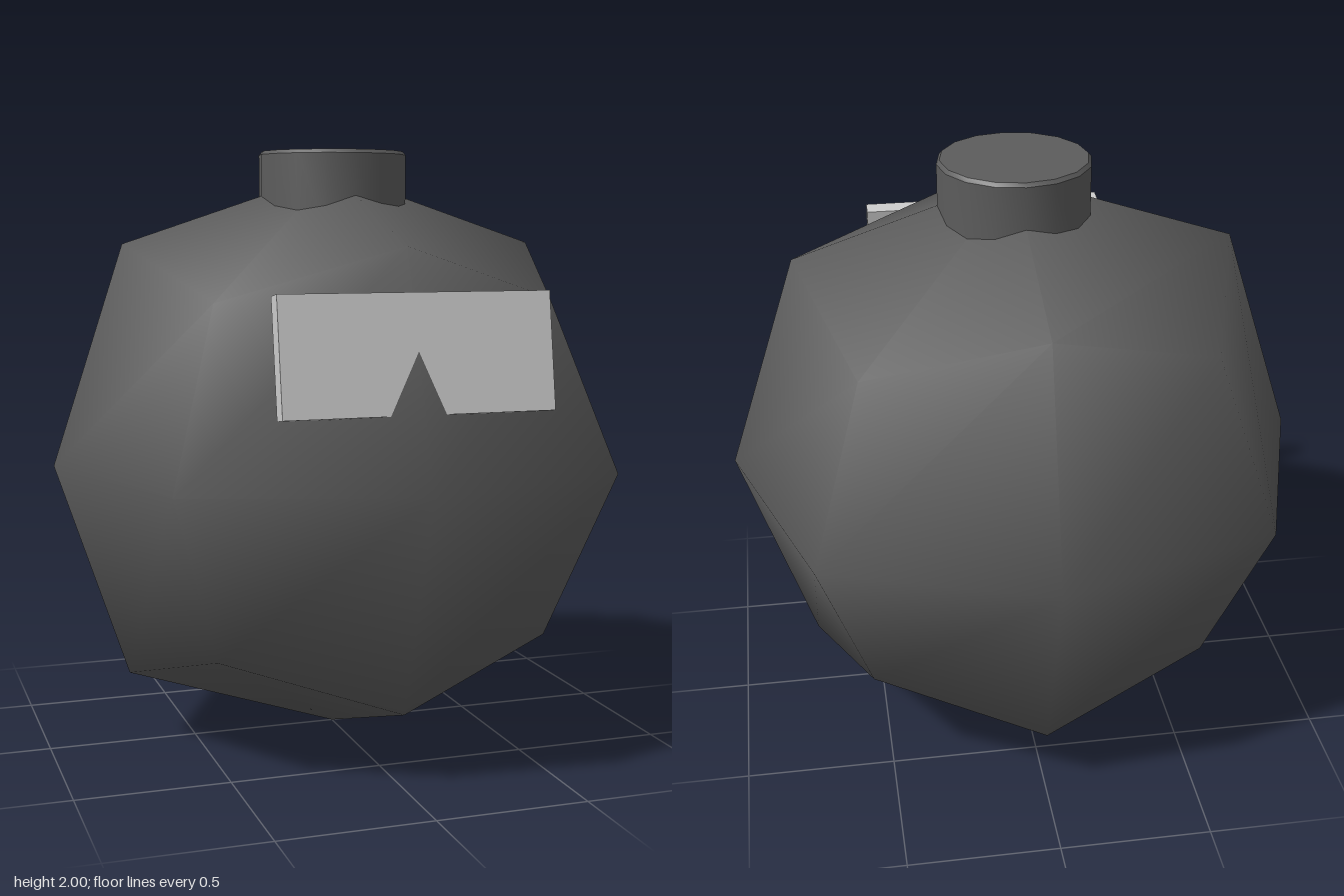
import * as THREE from 'three';
import { mergeVertices, toCreasedNormals } from 'three/addons/utils/BufferGeometryUtils.js';

const dark = new THREE.MeshStandardMaterial({ color: 0x5c5c5c });
const grey = new THREE.MeshStandardMaterial({ color: 0xcccccc });

function addMesh(group, name, geometry, material) {
  const mesh = new THREE.Mesh(geometry, material);
  mesh.name = name;
  group.add(mesh);
  return mesh;
}

// Coarse ball: a 2x2x2 cube whose corners, edge middles and face centres
// are moved to their own distances, shaded smooth.
function ballGeometry() {
  let geo = new THREE.BoxGeometry(2, 2, 2, 2, 2, 2);
  geo.deleteAttribute('normal');
  geo.deleteAttribute('uv');
  geo = mergeVertices(geo);

  const reach = [0, 0.965, 0.725, 0.555]; // by number of non-zero axes
  const pos = geo.attributes.position;
  const v = new THREE.Vector3();
  for (let i = 0; i < pos.count; i++) {
    v.fromBufferAttribute(pos, i).round();
    const axes = Math.abs(v.x) + Math.abs(v.y) + Math.abs(v.z);
    v.multiplyScalar(reach[axes]);
    pos.setXYZ(i, v.x, v.y, v.z);
  }

  // The underside quads are split along the other diagonal
  const index = geo.index;
  for (let q = 72; q < 96; q += 6) {
    const a = index.getX(q), b = index.getX(q + 1), d = index.getX(q + 2), c = index.getX(q + 4);
    [a, b, c, a, c, d].forEach((n, k) => index.setX(q + k, n));
  }
  geo.computeVertexNormals();
  return geo;
}

// Short round cap with a small bevel at the rim
function capGeometry() {
  const profile = [[0, 1.72], [0.25, 1.72], [0.25, 1.988], [0.24, 2], [0, 2]]
    .map(([r, y]) => new THREE.Vector2(r, y));
  return toCreasedNormals(new THREE.LatheGeometry(profile, 16), 0.5);
}

export function createModel() {
  const model = new THREE.Group();
  model.name = 'roundBomb';

  addMesh(model, 'body', ballGeometry(), dark).position.y = 0.968;
  addMesh(model, 'topCap', capGeometry(), dark);

  // Tilted plate, partly sunk into the front of the body
  const plate = addMesh(model, 'facePlate', new THREE.BoxGeometry(0.864, 0.365, 0.058), grey);
  plate.position.set(0.003, 1.375, 0.799);
  plate.rotation.x = -0.157;

  return model;
}
